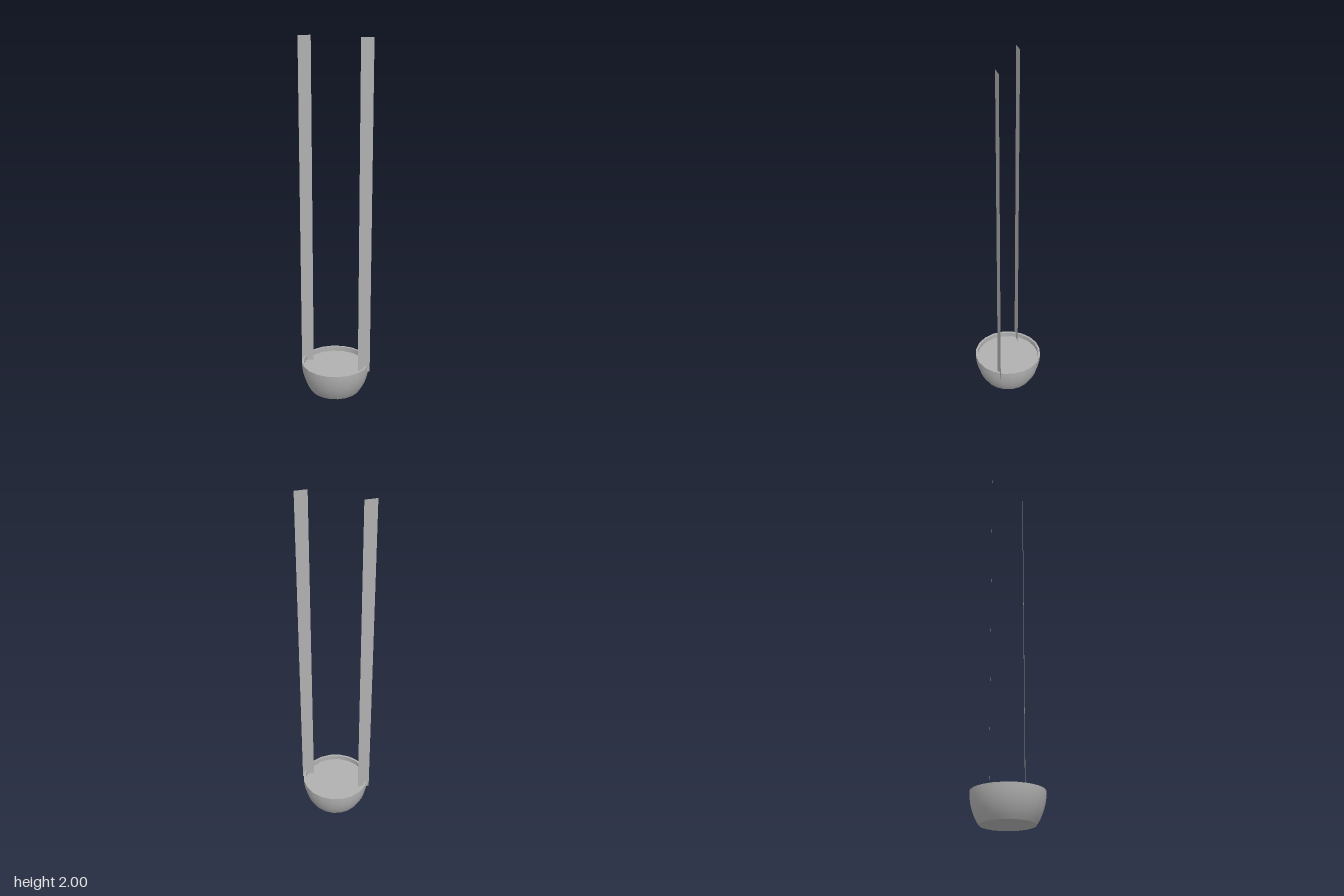
import * as THREE from 'three';

export function createModel() {
  const model = new THREE.Group();
  const grey = new THREE.MeshStandardMaterial({ color: 0xb0b0b0, side: THREE.DoubleSide });
  grey.name = 'grey';

  const SIDES = 20, TURN = Math.PI / SIDES;
  const RIM_Y = 0.168, RIM_R = 0.194, INNER_R = 0.182, FILL_Y = 0.14, BASE_ANGLE = 0.737;

  const add = (name, geometry, parent = model) => {
    const mesh = new THREE.Mesh(geometry, grey);
    mesh.name = name;
    parent.add(mesh);
    return mesh;
  };
  const lathe = (points) =>
    new THREE.LatheGeometry(points.map(([r, y]) => new THREE.Vector2(r, y)), SIDES, TURN);

  // Bowl: elliptical outer wall, cut flat at the base
  const bowl = new THREE.Group();
  bowl.name = 'bowl';
  model.add(bowl);
  const wall = [];
  for (let i = 0; i <= 8; i++) {
    const t = BASE_ANGLE * (1 - i / 8);
    wall.push([RIM_R * Math.cos(t), RIM_Y * (1 - Math.sin(t) / Math.sin(BASE_ANGLE))]);
  }
  add('bowlWall', lathe(wall), bowl);
  add('bowlBase', lathe([[0, 0], wall[0]]), bowl);

  // Rim, inner lip and the flat surface just below it
  add('bowlRim', lathe([[RIM_R, RIM_Y], [INNER_R, RIM_Y]]), bowl);
  add('innerLip', lathe([[INNER_R, RIM_Y], [INNER_R, FILL_Y]]), bowl);
  add('bowlFill', lathe([[INNER_R, FILL_Y], [0, FILL_Y]]), bowl);

  // Two flat straps, both turned the same way, rising from the rim
  const bottom = 0.13, top = 2;
  for (const [name, side] of [['leftStrap', 1], ['rightStrap', -1]]) {
    const strap = add(name, new THREE.PlaneGeometry(0.069, top - bottom));
    strap.position.set(side * 0.174, (top + bottom) / 2, 0);
    strap.rotation.y = 0.568;
  }

  return model;
}
